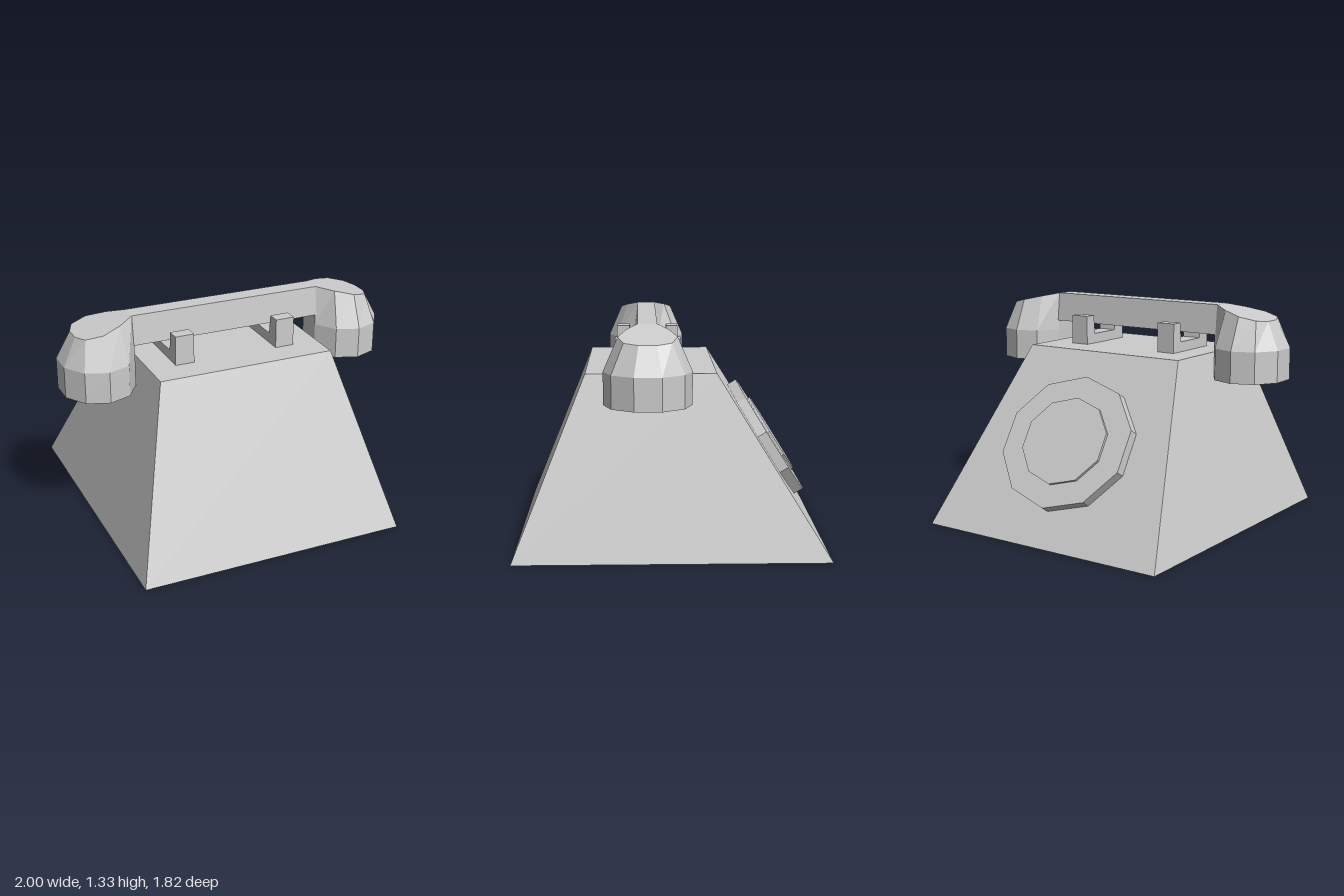
import * as THREE from 'three';

const grey = new THREE.MeshStandardMaterial({ color: 0xcccccc, flatShading: true });
grey.name = 'light grey';

// Closed solid through stacked rings of [x, y, z], counterclockwise from above
function loft(rings) {
  const pos = [];
  const tri = (a, b, c) => pos.push(...a, ...b, ...c);
  const n = rings[0].length;
  const top = rings[rings.length - 1];
  for (let r = 0; r < rings.length - 1; r++) {
    for (let i = 0; i < n; i++) {
      const j = (i + 1) % n;
      const lo = rings[r], hi = rings[r + 1];
      tri(lo[i], lo[j], hi[j]);
      tri(lo[i], hi[j], hi[i]);
    }
  }
  for (let i = 1; i < n - 1; i++) {
    tri(top[0], top[i], top[i + 1]);
    tri(rings[0][0], rings[0][i + 1], rings[0][i]);
  }
  const g = new THREE.BufferGeometry();
  g.setAttribute('position', new THREE.Float32BufferAttribute(pos, 3));
  g.computeVertexNormals();
  return g;
}

// Rectangular ring at height y
const rect = (x, y, z0, z1) => [[-x, y, z1], [x, y, z1], [x, y, z0], [-x, y, z0]];

export function createModel() {
  const model = new THREE.Group();
  model.name = 'telephone';
  const add = (geometry, name, parent = model) => {
    const mesh = new THREE.Mesh(geometry, grey);
    mesh.name = name;
    parent.add(mesh);
    return mesh;
  };

  // Tapered body
  add(loft([rect(0.81, 0, -0.91, 0.91), rect(0.535, 1.04, -0.26, 0.49)]), 'body');

  // Dial lying on the sloping face: local y is the face normal
  const dial = new THREE.Group();
  dial.name = 'dial';
  dial.position.set(0, 0.535, -0.576);
  dial.rotation.x = -Math.atan2(0.848, 0.53);
  model.add(dial);
  const disc = (radius, bottom, top, name) => {
    const g = new THREE.CylinderGeometry(radius, radius, top - bottom, 10);
    g.scale(1, 1, 0.93);
    g.translate(0, (top + bottom) / 2, 0);
    add(g, name, dial);
  };
  disc(0.44, -0.005, 0.06, 'dialRing');
  disc(0.288, 0.05, 0.076, 'dialCentre');

  // Forked cradles with slightly sloping inner faces
  const fork = new THREE.Shape([
    [-0.06, 1.03], [0.32, 1.03], [0.32, 1.215], [0.242, 1.215],
    [0.23, 1.1], [0.022, 1.1], [0.01, 1.215], [-0.06, 1.215],
  ].map(([z, y]) => new THREE.Vector2(-z, y)));
  for (const [side, name] of [[1, 'leftCradle'], [-1, 'rightCradle']]) {
    const g = new THREE.ExtrudeGeometry(fork, { depth: 0.115, bevelEnabled: false });
    g.translate(0, 0, -0.0575);
    g.rotateY(Math.PI / 2);
    add(g, name).position.x = side * 0.318;
  }

  // Handset
  const handset = new THREE.Group();
  handset.name = 'handset';
  handset.position.z = 0.135;
  model.add(handset);
  add(loft([rect(0.59, 1.155, -0.075, 0.075), rect(0.585, 1.33, -0.055, 0.055)]), 'handle', handset);

  // Ten-sided cups whose sloping tops narrow into the handle
  const shoulder = [[-0.205, 0.055], [-0.11, 0.12], [0, 0.163], [0.095, 0.13], [0.13, 0.05]];
  const levels = [-0.951, -0.588, 0, 0.588, 0.951];
  for (const [side, name] of [[1, 'leftCup'], [-1, 'rightCup']]) {
    const bottom = [], middle = [], top = [];
    for (let i = 0; i < 10; i++) {
      const a = (i / 10) * Math.PI * 2;
      const s = Math.sin(a), c = Math.cos(a);
      const x = side * 0.79 + 0.221 * s, z = 0.245 * c;
      bottom.push([x, 0.91, z]);
      middle.push([x, 1.095, z]);
      const k = levels.findIndex((v) => Math.abs(v - side * s) < 0.01);
      const [dx, dz] = shoulder[k];
      top.push([side * (0.79 + dx), 1.33 - 0.224 * (dx + 0.205), Math.sign(c) * dz]);
    }
    add(loft([bottom, middle, top]), name, handset);
  }
  return model;
}
